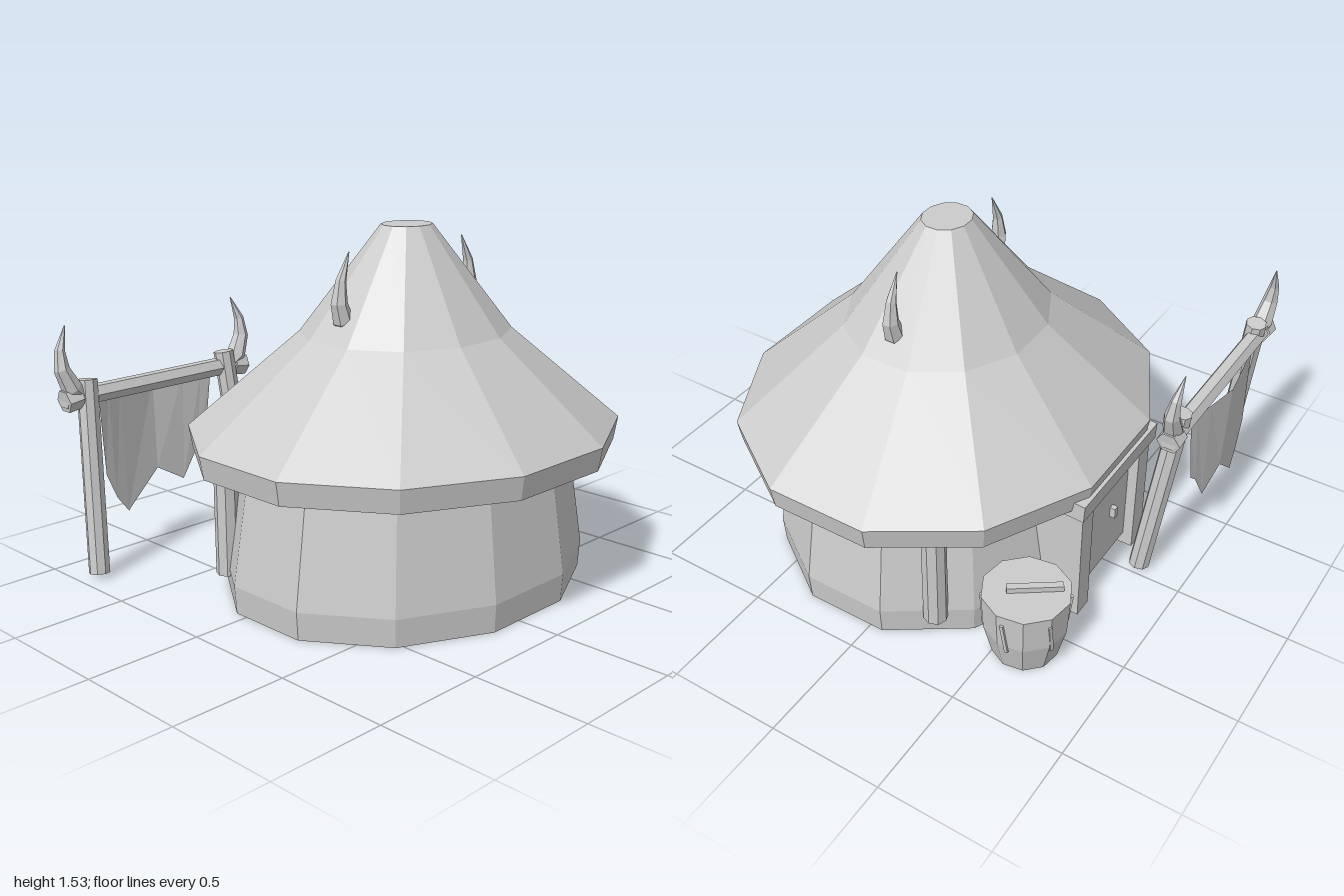
import * as THREE from 'three';

const grey = new THREE.MeshStandardMaterial({ color: 0xcccccc, flatShading: true, side: THREE.DoubleSide });
grey.name = 'plainGrey';

const V = (x, y, z) => new THREE.Vector3(x, y, z);

function add(parent, name, geometry, x = 0, y = 0, z = 0) {
  const mesh = new THREE.Mesh(geometry, grey);
  mesh.name = name;
  mesh.position.set(x, y, z);
  parent.add(mesh);
  return mesh;
}

// Faceted shell from [radius, height] pairs
function shell(profile, sides, start) {
  return new THREE.LatheGeometry(profile.map(([r, y]) => new THREE.Vector2(r, y)), sides, start);
}

// Straight pole between two points
function pole(parent, name, a, b, r, sides = 8) {
  const d = b.clone().sub(a);
  const mesh = add(parent, name, new THREE.CylinderGeometry(r, r, d.length(), sides));
  mesh.position.copy(a).add(b).multiplyScalar(0.5);
  mesh.quaternion.setFromUnitVectors(V(0, 1, 0), d.normalize());
  return mesh;
}

// Curved spike that tapers along a path of [point, radius] stations
function horn(parent, name, stations) {
  const n = stations.length - 1;
  const geo = new THREE.CylinderGeometry(1, 1, 1, 6, n);
  const pos = geo.attributes.position;
  for (let i = 0; i < pos.count; i++) {
    const k = Math.round((pos.getY(i) + 0.5) * n);
    const [p, r] = stations[k];
    const t = stations[Math.min(k + 1, n)][0].clone().sub(stations[Math.max(k - 1, 0)][0]).normalize();
    const side = V(0, 0, 1).cross(t).normalize();
    const out = t.clone().cross(side);
    const v = p.clone().addScaledVector(side, -pos.getX(i) * r).addScaledVector(out, pos.getZ(i) * r);
    pos.setXYZ(i, v.x, v.y, v.z);
  }
  geo.computeVertexNormals();
  add(parent, name, geo);
}

export function createModel() {
  const model = new THREE.Group();
  model.name = 'hut';
  const cx = 0.06, cz = 0.125, turn = Math.PI / 12;

  // Twelve-sided walls and roof, wider than deep
  const walls = add(model, 'walls', shell([[0.833, 0], [0.842, 0.12], [0.766, 0.59], [0.745, 0.72]], 12, turn), cx, 0, cz);
  walls.scale.z = 0.85;
  const roof = add(model, 'roof', shell([[0.955, 0.59], [0.973, 0.69], [0.471, 1.09], [0.114, 1.53], [0, 1.53]], 12, turn), cx, 0, cz);
  roof.scale.z = 0.89;

  // Roof horns and wall posts, mirrored about the hut centre
  for (const s of [-1, 1]) {
    horn(model, 'roofHorn', [
      [V(cx + s * 0.345, 1.15, 0.13), 0.025],
      [V(cx + s * 0.375, 1.18, 0.13), 0.042],
      [V(cx + s * 0.395, 1.25, 0.13), 0.035],
      [V(cx + s * 0.385, 1.34, 0.13), 0.022],
      [V(cx + s * 0.34, 1.45, 0.13), 0.002],
    ]);
    pole(model, 'wallPost', V(cx + s * 0.685, 0.09, -0.25), V(cx + s * 0.685, 0.72, -0.25), 0.052);
  }

  // Back porch with a recessed door
  const porch = new THREE.Group();
  porch.name = 'porch';
  model.add(porch);
  for (const s of [-1, 1]) add(porch, 'doorPost', new THREE.BoxGeometry(0.09, 0.57, 0.28), cx + s * 0.245, 0.285, -0.56);
  const lintel = add(porch, 'lintel', new THREE.BoxGeometry(0.63, 0.08, 0.29), cx, 0.6, -0.572);
  lintel.rotation.x = -0.05;
  add(porch, 'door', new THREE.BoxGeometry(0.4, 0.5, 0.05), cx, 0.31, -0.63);
  add(porch, 'doorHandle', new THREE.BoxGeometry(0.025, 0.05, 0.03), cx - 0.06, 0.3, -0.665);

  // Barrel with lid handle and thin side slats
  const barrel = new THREE.Group();
  barrel.name = 'barrel';
  barrel.position.set(0.61, 0, -0.6);
  model.add(barrel);
  add(barrel, 'barrelBody', shell([[0, 0], [0.14, 0], [0.177, 0.15], [0.187, 0.32], [0, 0.32]], 10, 0.16));
  const handle = add(barrel, 'lidHandle', new THREE.BoxGeometry(0.03, 0.025, 0.23), -0.015, 0.335, -0.03);
  handle.rotation.y = 0.62;
  for (const a of [0.5, 1.6, 2.7, 3.8, 5]) {
    const slat = add(barrel, 'slat', new THREE.BoxGeometry(0.015, 0.15, 0.009), Math.sin(a) * 0.178, 0.2, Math.cos(a) * 0.178);
    slat.rotation.set(0.08, a, 0.12, 'YXZ');
  }

  // Banner stand: leaning posts, crossbar and horned ends
  const stand = new THREE.Group();
  stand.name = 'bannerStand';
  stand.position.x = -0.48;
  model.add(stand);
  pole(stand, 'crossbar', V(-0.49, 0.79, -0.885), V(0.49, 0.79, -0.885), 0.042, 6);
  for (const s of [-1, 1]) {
    pole(stand, 'standPost', V(s * 0.43, 0.02, -0.785), V(s * 0.375, 0.86, -0.882), 0.046);
    pole(stand, 'endCollar', V(s * 0.42, 0.79, -0.885), V(s * 0.49, 0.78, -0.885), 0.052, 6);
    horn(stand, 'standHorn', [
      [V(s * 0.4, 0.79, -0.88), 0.03],
      [V(s * 0.45, 0.83, -0.882), 0.045],
      [V(s * 0.49, 0.92, -0.89), 0.034],
      [V(s * 0.488, 1.0, -0.9), 0.022],
      [V(s * 0.45, 1.1, -0.912), 0.002],
    ]);
  }

  // Torn banner: columns of [x, lower edge height], bowed outwards
  const columns = [[-0.31, 0.4], [-0.25, 0.28], [-0.18, 0.2], [0.02, 0.36], [0.17, 0.28], [0.26, 0.42], [0.31, 0.46]];
  const cloth = new THREE.PlaneGeometry(1, 1, columns.length - 1, 1);
  const pos = cloth.attributes.position;
  columns.forEach(([x, low], i) => {
    const bow = 0.06 * (1 - Math.abs(x) / 0.31);
    pos.setXYZ(i, x, 0.78, -0.9 - bow);
    pos.setXYZ(i + columns.length, x * 0.9, low, -0.915 - bow * 0.5);
  });
  cloth.computeVertexNormals();
  add(stand, 'banner', cloth);

  return model;
}
